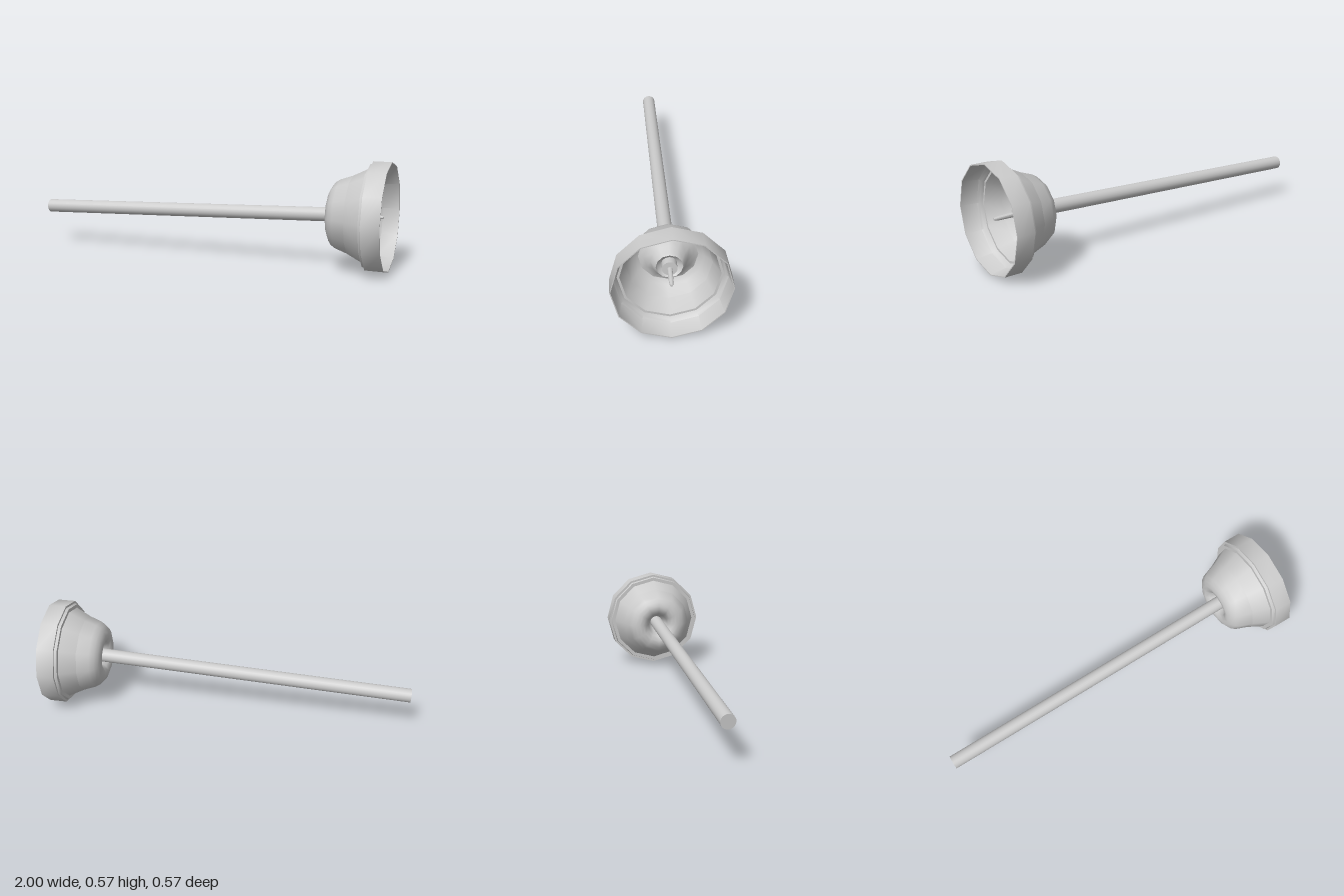
import * as THREE from 'three';
import { toCreasedNormals } from 'three/addons/utils/BufferGeometryUtils.js';

const material = new THREE.MeshStandardMaterial({ color: 0xcccccc, side: THREE.DoubleSide });
const AXIS_Y = 0.287;

// Revolve [x, radius] pairs around the x axis
function revolve(name, profile, sides) {
  const points = profile.map(([x, r]) => new THREE.Vector2(r, x));
  const geometry = new THREE.LatheGeometry(points, sides).rotateZ(-Math.PI / 2);
  const mesh = new THREE.Mesh(toCreasedNormals(geometry, 0.75), material);
  mesh.name = name;
  return mesh;
}

export function createModel() {
  const group = new THREE.Group();
  group.name = 'plunger';

  // Rubber cup: folded collar, rounded shoulder, stepped rim, then the inside back to the collar
  const cup = revolve('cup', [
    [0.80, 0.036], [0.775, 0.05], [0.73, 0.06], [0.703, 0.075], [0.69, 0.10],
    [0.69, 0.122], [0.70, 0.147], [0.715, 0.168], [0.74, 0.184],
    [0.89, 0.238], [0.89, 0.27], [0.905, 0.274], [0.905, 0.286], [1.0, 0.286],
    [1.0, 0.281], [0.915, 0.268], [0.905, 0.256], [0.89, 0.25],
    [0.80, 0.205], [0.75, 0.172], [0.735, 0.145], [0.745, 0.118],
    [0.78, 0.088], [0.815, 0.072], [0.825, 0.065], [0.815, 0.058], [0.80, 0.036],
  ], 12);
  cup.position.y = AXIS_Y;
  group.add(cup);

  // Wooden handle, slightly tilted, running through the collar
  const start = new THREE.Vector3(-0.998, 0.216, 0);
  const end = new THREE.Vector3(0.845, 0.29, 0);
  const length = start.distanceTo(end);
  const handle = new THREE.Mesh(new THREE.CylinderGeometry(0.037, 0.037, length, 24), material);
  handle.name = 'handle';
  handle.position.copy(start).lerp(end, 0.5);
  handle.quaternion.setFromUnitVectors(
    new THREE.Vector3(0, 1, 0), end.clone().sub(start).normalize());
  group.add(handle);

  // Screw sticking out of the handle end
  const screw = revolve('screw', [
    [0.83, 0.013], [0.94, 0.011], [0.965, 0.006], [0.967, 0],
  ], 12);
  screw.position.y = AXIS_Y;
  group.add(screw);

  return group;
}
